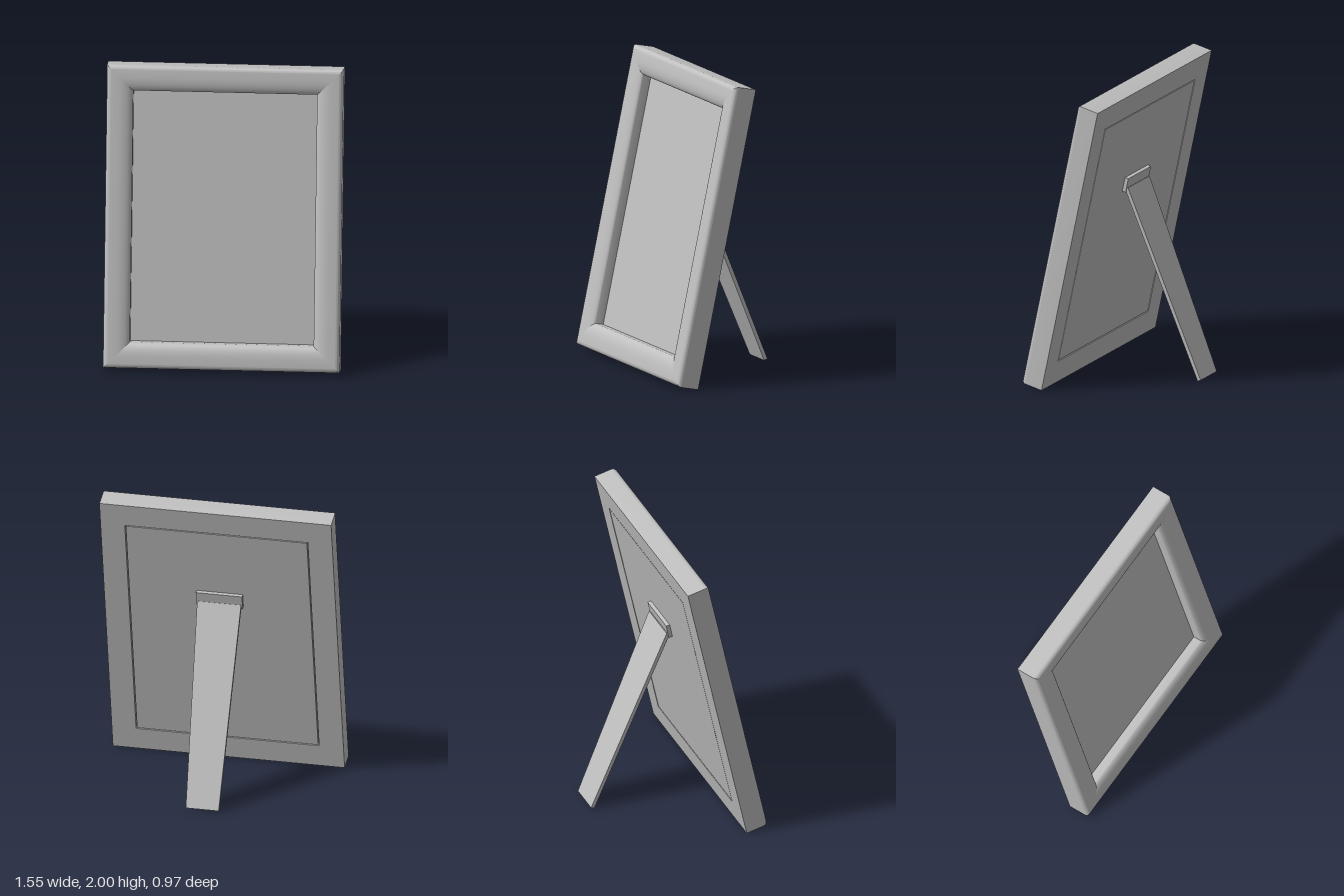
import * as THREE from 'three';
import { toCreasedNormals } from 'three/addons/utils/BufferGeometryUtils.js';

const W = 0.777;      // half width of the frame
const H = 1.0075;     // half height along the tilted plane
const TILT = 0.21;    // backward lean

// Moulding cross-section: [inset from the outer edge, height above the back]
function railProfile() {
  const p = [[0, 0]];
  for (let i = 0; i <= 8; i++) {            // rounded outer edge
    const a = (i / 8) * Math.PI / 2;
    p.push([0.03 - 0.03 * Math.cos(a), 0.125 + 0.03 * Math.sin(a)]);
  }
  for (let i = 0; i <= 12; i++) {           // slope rolling down to the opening
    const a = (i / 12) * Math.PI / 2;
    p.push([0.075 + 0.098 * Math.sin(a), 0.1145 + 0.0405 * Math.cos(a)]);
  }
  p.push([0.173, 0.064], [0.163, 0.064], [0.163, 0]); // lip and rebate
  return p;
}

// One mitred rail between two neighbouring corners (signs of x and y)
function railGeometry(profile, [ax, ay], [bx, by]) {
  const pos = [];
  const at = (sx, sy, [u, d]) => [sx * (W - u), sy * (H - u), d];
  profile.forEach((p, i) => {
    const q = profile[(i + 1) % profile.length];
    const a = at(ax, ay, p), b = at(bx, by, p), c = at(bx, by, q), d = at(ax, ay, q);
    pos.push(...a, ...b, ...c, ...a, ...c, ...d);
  });
  const g = new THREE.BufferGeometry();
  g.setAttribute('position', new THREE.Float32BufferAttribute(pos, 3));
  return toCreasedNormals(g, 0.6);
}

export function createModel() {
  const model = new THREE.Group();
  const grey = new THREE.MeshStandardMaterial({ color: 0xbfbfbf });
  grey.name = 'light grey';

  const add = (parent, name, geometry, x = 0, y = 0, z = 0) => {
    const m = new THREE.Mesh(geometry, grey);
    m.name = name;
    m.position.set(x, y, z);
    parent.add(m);
    return m;
  };

  // Tilted frame; its local origin is the middle of the back plane
  const tilted = new THREE.Group();
  tilted.name = 'tiltedFrame';
  tilted.rotation.x = -TILT;
  tilted.position.set(0, H * Math.cos(TILT), 0.34 - H * Math.sin(TILT));
  model.add(tilted);

  // Four mitred rails, counter-clockwise from the bottom
  const corners = [[-1, -1], [1, -1], [1, 1], [-1, 1]];
  const names = ['bottomRail', 'leftRail', 'topRail', 'rightRail'];
  const profile = railProfile();
  names.forEach((name, i) =>
    add(tilted, name, railGeometry(profile, corners[i], corners[(i + 1) % 4])));

  // Picture panel and backing board, with a narrow gap to the rails behind
  add(tilted, 'pictureBoard',
    new THREE.BoxGeometry(2 * (W - 0.17), 2 * (H - 0.17), 0.063), 0, 0, 0.0325);

  // Hinge block on the back
  add(tilted, 'hingeBlock', new THREE.BoxGeometry(0.31, 0.1, 0.026), 0, 1.315 - H, -0.011);

  // Tapered easel leg
  const outline = new THREE.Shape([
    new THREE.Vector2(-0.11, 0), new THREE.Vector2(0.11, 0),
    new THREE.Vector2(0.147, 1.36), new THREE.Vector2(-0.147, 1.36),
  ]);
  const legGeometry = new THREE.ExtrudeGeometry(outline, { depth: 0.025, bevelEnabled: false });
  legGeometry.translate(0, 0, -0.0125);
  const leg = add(model, 'easelLeg', legGeometry, 0, 0.005, -0.473);
  leg.rotation.x = 0.395;

  return model;
}
